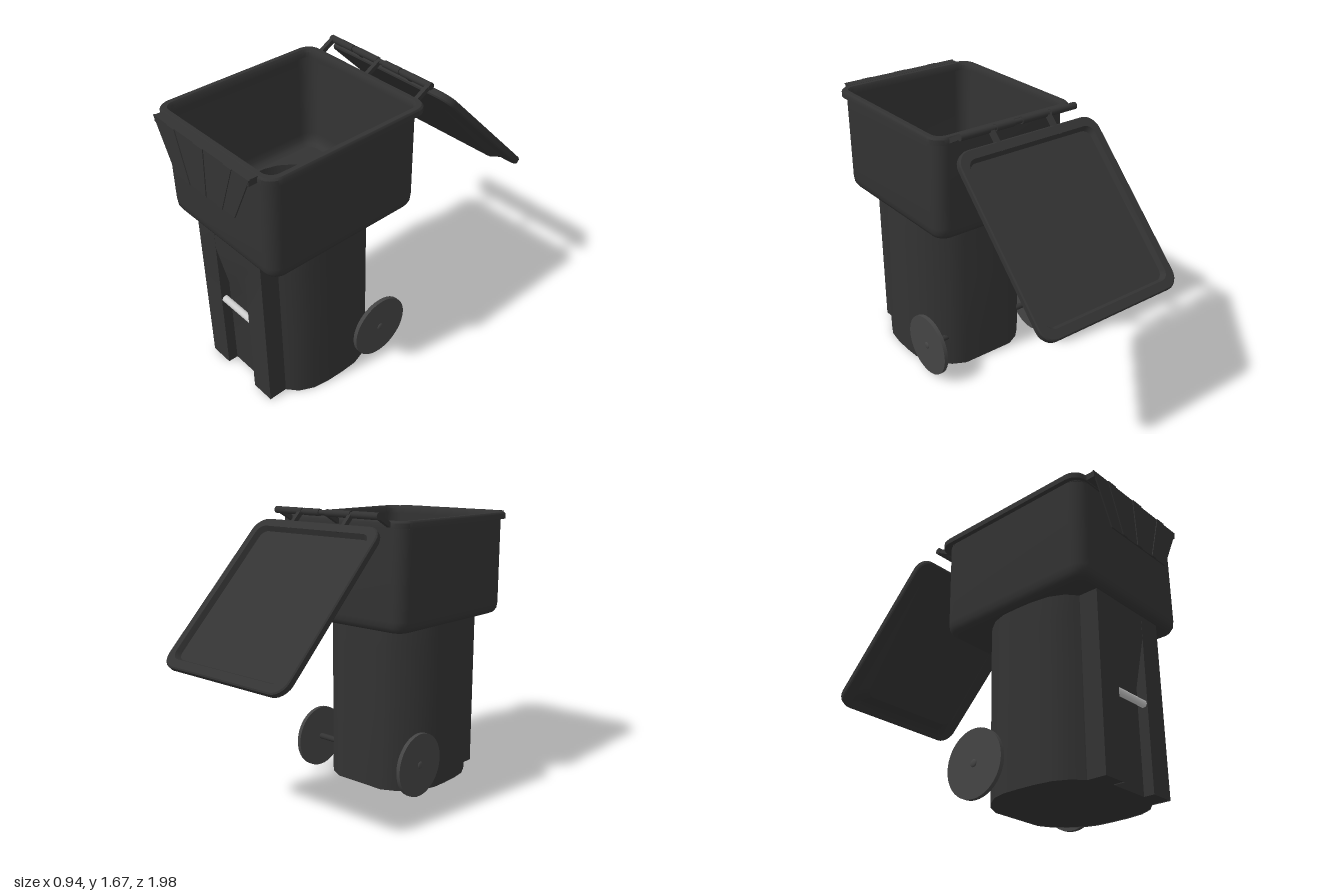
import * as THREE from 'three';
import { toCreasedNormals } from 'three/addons/utils/BufferGeometryUtils.js';

const plastic = new THREE.MeshStandardMaterial({ color: 0x333333, side: THREE.DoubleSide });
const wheelGrey = new THREE.MeshStandardMaterial({ color: 0x444444 });
const metal = new THREE.MeshStandardMaterial({ color: 0xcccccc });

// Rounded rectangle ring in the xz plane; tilt slopes its height along z.
function roundedRing(hx, z0, z1, r, y, tilt = 0) {
  const pts = [], n = 6;
  const corners = [[hx - r, z1 - r], [r - hx, z1 - r], [r - hx, z0 + r], [hx - r, z0 + r]];
  corners.forEach(([cx, cz], q) => {
    for (let i = 0; i <= n; i++) {
      const a = (q + i / n) * Math.PI / 2;
      const z = cz + r * Math.sin(a);
      pts.push([cx + r * Math.cos(a), y + tilt * (z - z0), z]);
    }
  });
  return pts;
}

// Skin through rings of equal point count; a one-point cap is a ring shrunk to its centre.
function loft(rings, crease = 0.7) {
  const n = rings[0].length, index = [];
  for (let i = 0; i < rings.length - 1; i++) {
    for (let j = 0; j < n; j++) {
      const a = i * n + j, b = i * n + (j + 1) % n;
      index.push(a, a + n, b, b, a + n, b + n);
    }
  }
  const geo = new THREE.BufferGeometry();
  geo.setAttribute('position', new THREE.Float32BufferAttribute(rings.flat(2), 3));
  geo.setIndex(index);
  return toCreasedNormals(geo.toNonIndexed(), crease);
}

// Plan of the lower body, with a front channel whose floor lies at z = channelZ.
function bodyPlan(channelZ) {
  const half = [[0.17, 0.1], [0.25, 0.14], [0.31, 0.2], [0.36, 0.27], [0.385, 0.35], [0.388, 0.45],
    [0.385, 0.55], [0.37, 0.65], [0.33, 0.73], [0.27, 0.78], [0.27, 0.89], [0.125, 0.89], [0.125, channelZ]];
  return [...half, ...half.map(([x, z]) => [-x, z]).reverse()];
}

const toShape = (pts) => new THREE.Shape(pts.map(([x, z]) => new THREE.Vector2(x, z)));

export function createModel() {
  const model = new THREE.Group();
  const add = (name, geo, material = plastic, parent = model) => {
    const mesh = new THREE.Mesh(geo, material);
    mesh.name = name;
    parent.add(mesh);
    return mesh;
  };
  const box = (name, w, h, d, x, y, z) => add(name, new THREE.BoxGeometry(w, h, d)).position.set(x, y, z);
  const rod = (name, r, length, x, y, z, material, sides = 24) => {
    const geo = new THREE.CylinderGeometry(r, r, length, sides).rotateZ(Math.PI / 2);
    add(name, geo, material).position.set(x, y, z);
  };
  // Square bar between two points of the yz plane
  const arm = (name, x, y0, z0, y1, z1) => {
    const mesh = add(name, new THREE.BoxGeometry(0.024, 0.026, Math.hypot(y1 - y0, z1 - z0)));
    mesh.position.set(x, (y0 + y1) / 2, (z0 + z1) / 2);
    mesh.rotation.x = -Math.atan2(y1 - y0, z1 - z0);
  };

  // Lower body with the grip channel sloping in from the front panel
  const levels = [[0, 0.83], [0.59, 0.83], [0.865, 0.889], [1.0, 0.889]];
  add('lowerBody', loft(levels.map(([y, cz]) => bodyPlan(cz).map(([x, z]) => [x, y, z])), 0.6));
  add('bodyBottom', new THREE.ShapeGeometry(toShape(bodyPlan(0.83))).rotateX(Math.PI / 2)).position.y = 0.004;
  rod('gripBar', 0.02, 0.25, 0, 0.49, 0.866, metal);

  // Upper hopper with rounded lower edge and a thick rim
  const floor = roundedRing(0.4, -0.015, 0.897, 0.06, 1.0);
  add('hopper', loft([
    floor,
    roundedRing(0.423, -0.038, 0.918, 0.07, 1.01),
    roundedRing(0.437, -0.051, 0.931, 0.075, 1.035),
    roundedRing(0.442, -0.055, 0.935, 0.08, 1.07),
    roundedRing(0.442, -0.055, 0.935, 0.08, 1.58),
  ], 1));
  add('hopperRim', loft([
    roundedRing(0.442, -0.055, 0.935, 0.07, 1.58),
    roundedRing(0.468, -0.09, 0.945, 0.08, 1.58),
    roundedRing(0.468, -0.09, 0.945, 0.08, 1.61),
    roundedRing(0.46, -0.082, 0.937, 0.075, 1.62),
    roundedRing(0.435, -0.057, 0.912, 0.06, 1.62),
    roundedRing(0.425, -0.047, 0.902, 0.055, 1.605),
    roundedRing(0.425, -0.047, 0.902, 0.055, 1.575),
    roundedRing(0.442, -0.055, 0.935, 0.07, 1.575),
  ]));

  // Hopper floor, open into the lower body
  const floorShape = toShape(floor.map(([x, , z]) => [x, z]));
  floorShape.holes.push(toShape(bodyPlan(0.889)));
  add('hopperFloor', new THREE.ShapeGeometry(floorShape).rotateX(Math.PI / 2)).position.y = 1.0;

  // Front rail and hanging apron with raised, converging ribs
  box('frontRail', 0.77, 0.036, 0.055, 0, 1.602, 0.966);
  const strip = (name, topL, topR, lowL, lowR, z, depth) => {
    const shape = toShape([[lowL, 1.335], [lowR, 1.335], [topR, 1.62], [topL, 1.62]]);
    add(name, new THREE.ExtrudeGeometry(shape, { depth, bevelEnabled: false })).position.z = z;
  };
  strip('apron', -0.39, 0.39, -0.248, 0.248, 0.987, 0.008);
  strip('apronRibMiddle', -0.04, 0.04, -0.022, 0.022, 0.99, 0.01);
  strip('apronRibLeft', 0.2, 0.265, 0.115, 0.155, 0.99, 0.01);
  strip('apronRibRight', -0.265, -0.2, -0.155, -0.115, 0.99, 0.01);

  // Hinge rod, knuckles and arms
  rod('hingeRod', 0.014, 0.76, 0, 1.65, -0.185, plastic, 12);
  for (const [x, w] of [[-0.295, 0.18], [-0.1, 0.18], [0.1, 0.12], [0.28, 0.21]]) {
    rod('hingeKnuckle', 0.02, w, x, 1.65, -0.185, plastic, 12);
  }
  for (const x of [-0.37, 0, 0.37]) arm('hopperHingeArm', x, 1.595, -0.08, 1.65, -0.18);
  for (const x of [-0.19, 0.19]) arm('lidHingeArm', x, 1.65, -0.185, 1.555, -0.28);

  // Lid swung open behind: domed outside, raised rim, sunken inside panel
  const lid = new THREE.Group();
  lid.name = 'lid';
  lid.position.set(0, 1.605, -0.25);
  lid.rotation.x = -0.79;
  model.add(lid);
  const centre = (y) => roundedRing(0.001, -0.521, -0.519, 0.0005, y);
  add('lidShell', loft([
    centre(-0.068),
    roundedRing(0.35, -0.91, -0.13, 0.06, -0.084, 0.043),
    roundedRing(0.395, -0.97, -0.07, 0.07, -0.045),
    roundedRing(0.46, -1.03, -0.008, 0.08, -0.042),
    roundedRing(0.465, -1.04, 0, 0.085, -0.034),
    roundedRing(0.465, -1.04, 0, 0.085, -0.006),
    roundedRing(0.458, -1.033, -0.007, 0.08, 0),
    roundedRing(0.415, -0.985, -0.055, 0.05, 0),
    roundedRing(0.402, -0.97, -0.07, 0.045, -0.03),
    centre(-0.03),
  ], 0.5), plastic, lid);

  // Wheels, hubs and axle
  rod('axle', 0.018, 0.78, 0, 0.195, 0.17, plastic, 16);
  for (const s of [-1, 1]) {
    rod('wheel', 0.19, 0.024, s * 0.399, 0.195, 0.17, wheelGrey, 48);
    const hub = add('hubCap', new THREE.SphereGeometry(0.022, 16, 10), wheelGrey);
    hub.position.set(s * 0.41, 0.195, 0.17);
    hub.scale.x = 0.4;
  }
  return model;
}
